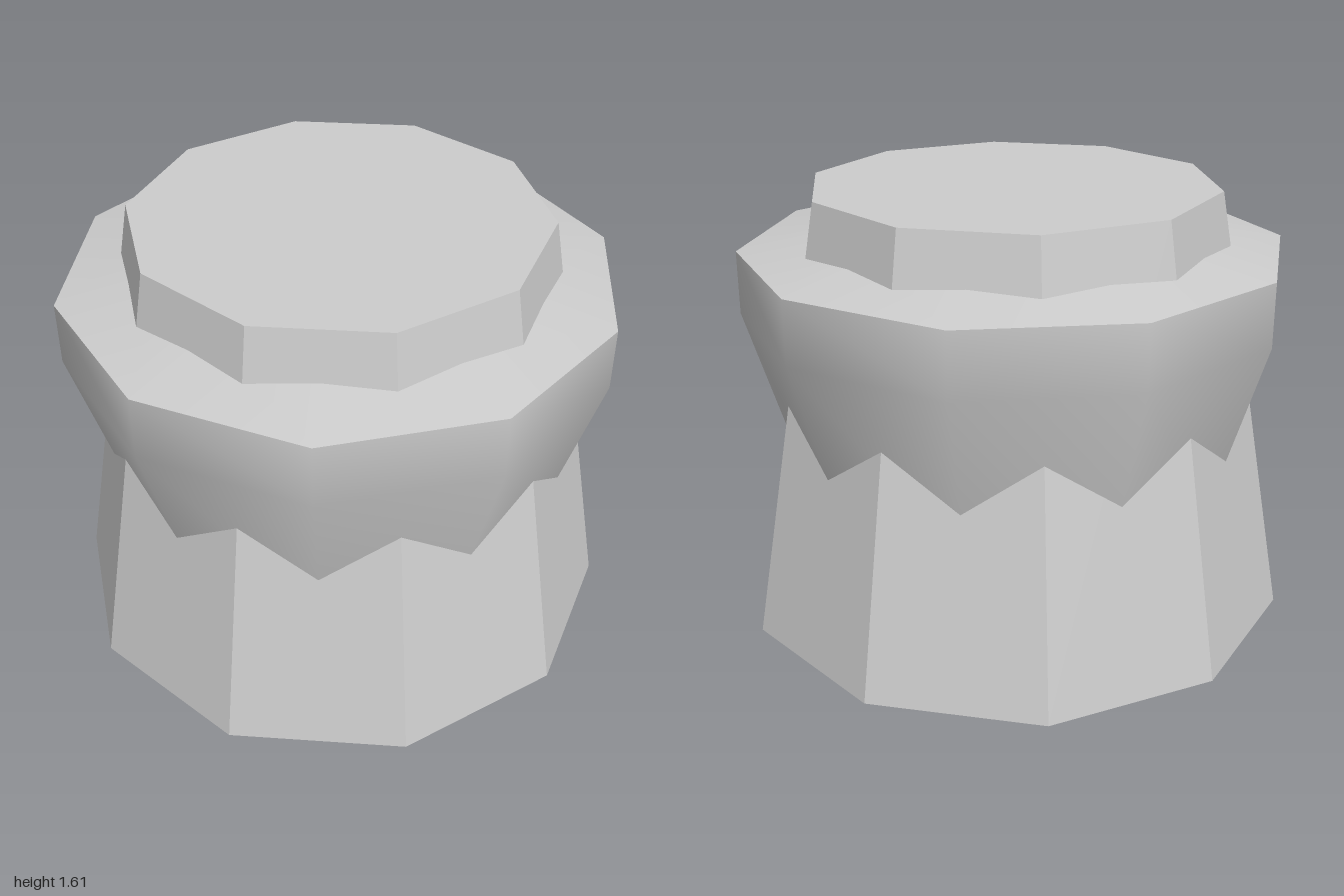
import * as THREE from 'three';

const SIDES = 10;
const HALF_STEP = Math.PI / SIDES;

export function createModel() {
  const group = new THREE.Group();
  group.name = 'facetedKnob';
  const grey = new THREE.MeshStandardMaterial({ color: 0xcccccc });
  grey.name = 'light grey';

  const add = (name, geometry) => {
    const mesh = new THREE.Mesh(geometry, grey);
    mesh.name = name;
    group.add(mesh);
  };

  // Ten-sided ring, smooth around, turned half a step against the body
  const ring = (name, profile) => add(name, new THREE.LatheGeometry(
    profile.map(([r, y]) => new THREE.Vector2(r, y)), SIDES, HALF_STEP));

  // Tapered body with flat facets, reaching up through the collar
  const body = new THREE.CylinderGeometry(0.725, 1, 1.55, SIDES).toNonIndexed();
  body.computeVertexNormals();
  body.translate(0, 0.06 + 1.55 / 2, 0);
  add('body', body);

  // Collar: flared side and shallow sloping top with a crisp rim between
  ring('collarSide', [[0.78, 0.54], [0.97, 1.165], [0.97, 1.39]]);
  ring('collarTop', [[0.97, 1.39], [0.6, 1.458]]);

  // Small foot below the body
  ring('footSide', [[0.615, 0], [0.63, 0.06]]);
  ring('footBottom', [[0, 0], [0.615, 0]]);

  return group;
}
